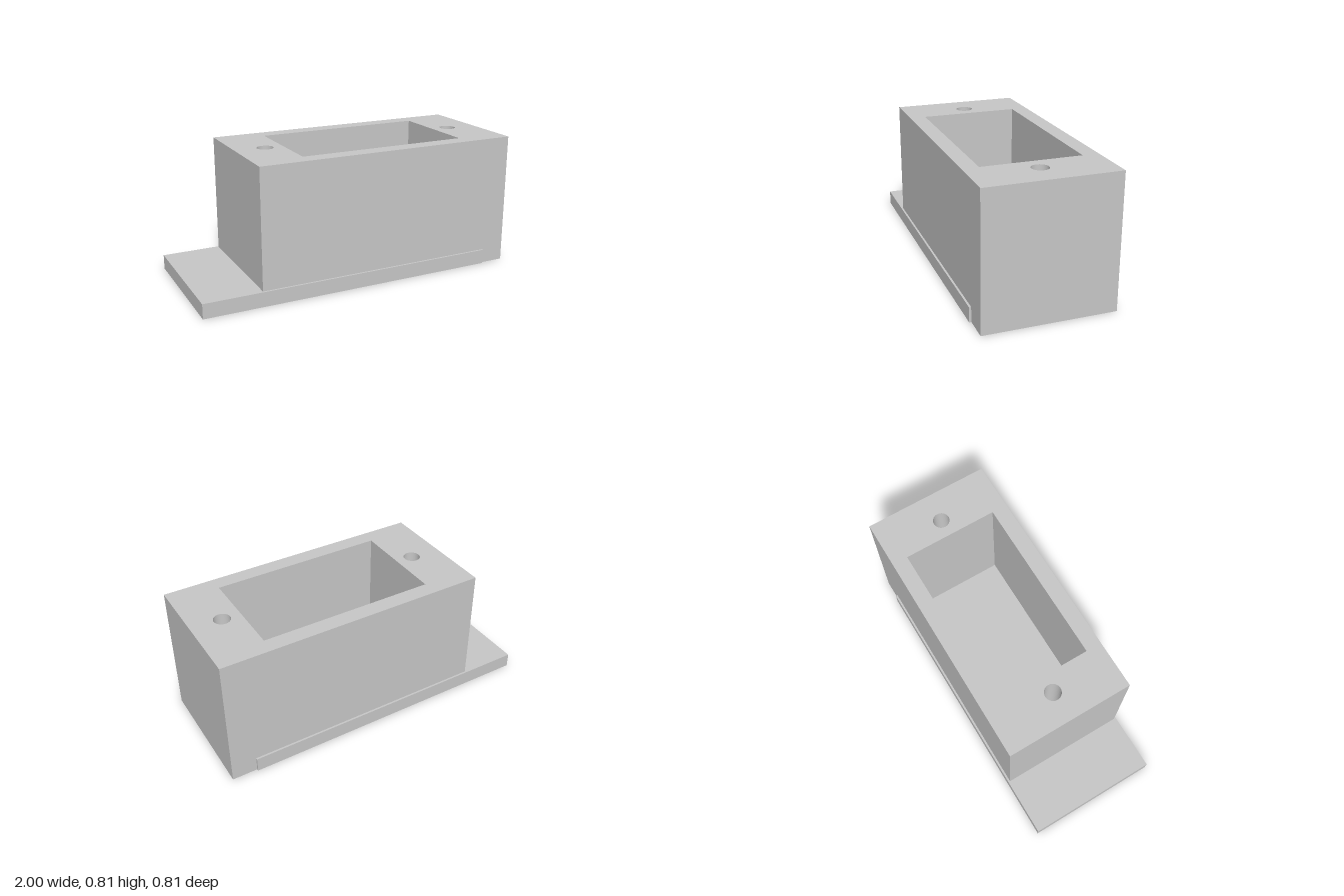
import * as THREE from 'three';

export function createModel() {
  const model = new THREE.Group();
  const grey = new THREE.MeshStandardMaterial({ color: 0xc6c6c6 });
  grey.name = 'light grey';

  const add = (name, geometry) => {
    const mesh = new THREE.Mesh(geometry, grey);
    mesh.name = name;
    model.add(mesh);
    return mesh;
  };

  // Box given by its x range, half depth and height, standing on the ground
  const slab = (name, x0, x1, halfZ, height) =>
    add(name, new THREE.BoxGeometry(x1 - x0, height, 2 * halfZ))
      .position.set((x0 + x1) / 2, height / 2, 0);

  // Corners of a rectangle symmetric about z = 0
  const rectangle = (x0, x1, halfZ) => [
    new THREE.Vector2(x0, -halfZ), new THREE.Vector2(x1, -halfZ),
    new THREE.Vector2(x1, halfZ), new THREE.Vector2(x0, halfZ),
  ];

  const plateTop = 0.09, bodyTop = 0.81, bodyHalf = 0.392, plateEnd = 0.848;

  // Base plate and the end of the body that overhangs it
  slab('basePlate', -1, plateEnd, 0.404, plateTop);
  slab('bodyFoot', plateEnd, 1, bodyHalf, plateTop);

  // Housing with a rectangular pocket and two screw holes
  const outline = new THREE.Shape(rectangle(-0.645, 1, bodyHalf));
  outline.holes.push(new THREE.Path(rectangle(-0.349, 0.7, 0.295)));
  for (const x of [-0.458, 0.811]) {
    outline.holes.push(new THREE.Path().absarc(x, 0, 0.05, 0, Math.PI * 2, true));
  }
  const housing = new THREE.ExtrudeGeometry(outline, {
    depth: bodyTop - plateTop, bevelEnabled: false, curveSegments: 32,
  });
  housing.rotateX(-Math.PI / 2);
  add('housing', housing).position.y = plateTop;

  return model;
}
